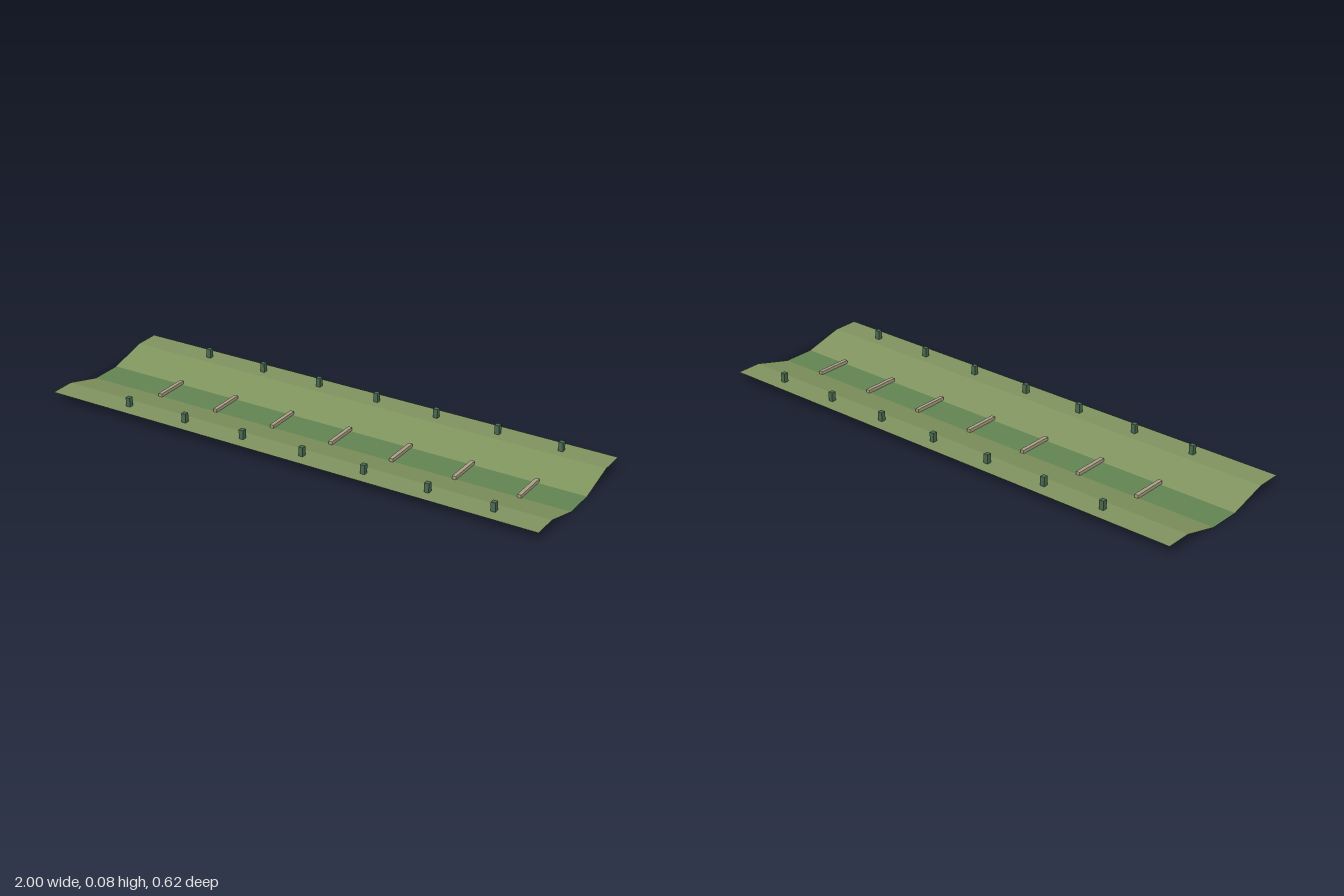
import * as THREE from 'three';

const LENGTH = 2;
const mat = (color, side = THREE.FrontSide) =>
  new THREE.MeshStandardMaterial({ color, side, flatShading: true });

// Thin sheet: a [z, y] profile swept along x, upper side facing up
function sheet(name, profile, material) {
  const pos = [], index = [];
  for (const [z, y] of profile) pos.push(-LENGTH / 2, y, z, LENGTH / 2, y, z);
  for (let i = 0; i < profile.length - 1; i++) {
    const a = i * 2;
    index.push(a, a + 2, a + 1, a + 1, a + 2, a + 3);
  }
  const geo = new THREE.BufferGeometry();
  geo.setAttribute('position', new THREE.Float32BufferAttribute(pos, 3));
  geo.setIndex(index);
  const flat = geo.toNonIndexed();
  flat.computeVertexNormals();
  const mesh = new THREE.Mesh(flat, material);
  mesh.name = name;
  return mesh;
}

function box(name, size, position, material) {
  const mesh = new THREE.Mesh(new THREE.BoxGeometry(...size), material);
  mesh.position.set(...position);
  mesh.name = name;
  return mesh;
}

export function createModel() {
  const model = new THREE.Group();
  model.name = 'trench';
  const grass = mat(0x7f935e, THREE.DoubleSide);
  const bed = mat(0x628452, THREE.DoubleSide);
  const wood = mat(0xaa9f85);
  const postGreen = mat(0x4a6a50);

  // Flat bed along the bottom
  const floorHalf = 0.0625;
  model.add(sheet('bed', [[-floorHalf, 0], [floorHalf, 0]], bed));

  // Sloping banks with level shoulders on both sides
  const bank = [[floorHalf, 0], [0.2125, 0.04], [0.3125, 0.04]];
  model.add(sheet('frontBank', bank, grass));
  model.add(sheet('backBank', bank.map(([z, y]) => [-z, y]).reverse(), grass));

  // Cross slats on the bed and a pair of posts beside each one
  for (let i = 0; i < 7; i++) {
    const x = -0.69 + i * 0.25;
    model.add(box('slat', [0.015, 0.0125, 0.138], [x, 0.0075, 0], wood));
    for (const side of [-1, 1]) {
      model.add(box('post', [0.018, 0.05, 0.018], [x, 0.05, side * 0.256], postGreen));
    }
  }
  return model;
}
